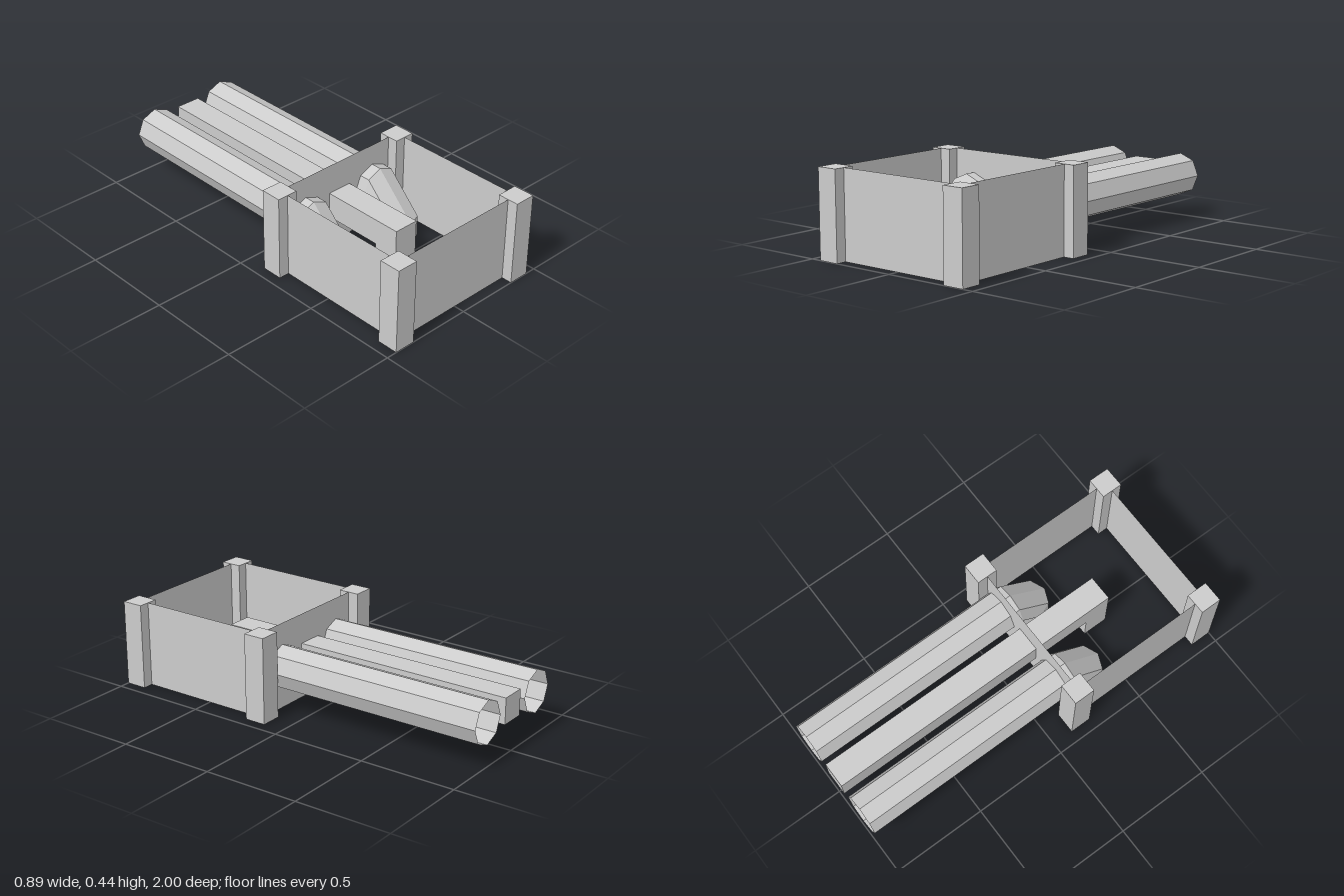
import * as THREE from 'three';

const U = 1 / 9; // base module: posts, pipe radius and bends are multiples of it
const solid = new THREE.MeshStandardMaterial({ color: 0xcccccc, flatShading: true });
const thin = new THREE.MeshStandardMaterial({ color: 0xcccccc, flatShading: true, side: THREE.DoubleSide });

function mesh(name, geometry, material, x = 0, y = 0, z = 0) {
  const m = new THREE.Mesh(geometry, material);
  m.name = name;
  m.position.set(x, y, z);
  return m;
}

// Open octagonal pipe: runs level, bends 45 degrees, then drops to the ground
function pipeGeometry() {
  const sides = 8, r = U;
  const level = (z) => (c, s) => [r * c, 2 * U + r * s, z];
  const upright = (y) => (c, s) => [r * c, y, 3 * U + r * s];
  const rings = [level(-1), level(2 * U), upright(U), upright(0)];
  const positions = [], index = [];
  rings.forEach((ring, k) => {
    for (let i = 0; i < sides; i++) {
      const a = (i / sides) * Math.PI * 2;
      positions.push(...ring(Math.cos(a), Math.sin(a)));
      if (k === 0) continue;
      const j = (i + 1) % sides;
      const a0 = (k - 1) * sides + i, b0 = (k - 1) * sides + j;
      const a1 = k * sides + i, b1 = k * sides + j;
      index.push(a0, b0, b1, a0, b1, a1);
    }
  });
  const g = new THREE.BufferGeometry();
  g.setAttribute('position', new THREE.Float32BufferAttribute(positions, 3));
  g.setIndex(index);
  const flat = g.toNonIndexed();
  flat.computeVertexNormals();
  return flat;
}

// Square beam with its front end turned down to the ground
function beamGeometry() {
  const w = 0.134, bottom = 0.155, top = 0.289, front = 0.62;
  const s = new THREE.Shape();
  // profile in (-z, y)
  s.moveTo(1, bottom);
  s.lineTo(1, top);
  s.lineTo(-front, top);
  s.lineTo(-front, 0);
  s.lineTo(w - front, 0);
  s.lineTo(w - front, bottom);
  s.closePath();
  const g = new THREE.ExtrudeGeometry(s, { depth: w, bevelEnabled: false });
  g.translate(0, 0, -w / 2);
  g.rotateY(Math.PI / 2); // profile x becomes -z
  return g;
}

export function createModel() {
  const model = new THREE.Group();
  model.name = 'pipedBox';

  const height = 4 * U, midZ = 5 * U, half = 3.5 * U;

  // Corner posts and the thin walls between them
  const post = new THREE.BoxGeometry(U, height, U);
  const wall = new THREE.PlaneGeometry(2 * half, height);
  for (const s of [-1, 1]) {
    for (const t of [-1, 1]) {
      model.add(mesh('cornerPost', post, solid, s * half, height / 2, midZ + t * half));
    }
    model.add(mesh(s > 0 ? 'frontWall' : 'backWall', wall, thin, 0, height / 2, midZ + s * half));
    const side = mesh(s > 0 ? 'leftWall' : 'rightWall', wall, thin, s * half, height / 2, midZ);
    side.rotation.y = (s * Math.PI) / 2;
    model.add(side);
  }

  // Twin pipes with the beam between them
  const pipe = pipeGeometry();
  model.add(mesh('leftPipe', pipe, thin, 2 * U));
  model.add(mesh('rightPipe', pipe, thin, -2 * U));
  model.add(mesh('centreBeam', beamGeometry(), solid));

  return model;
}
